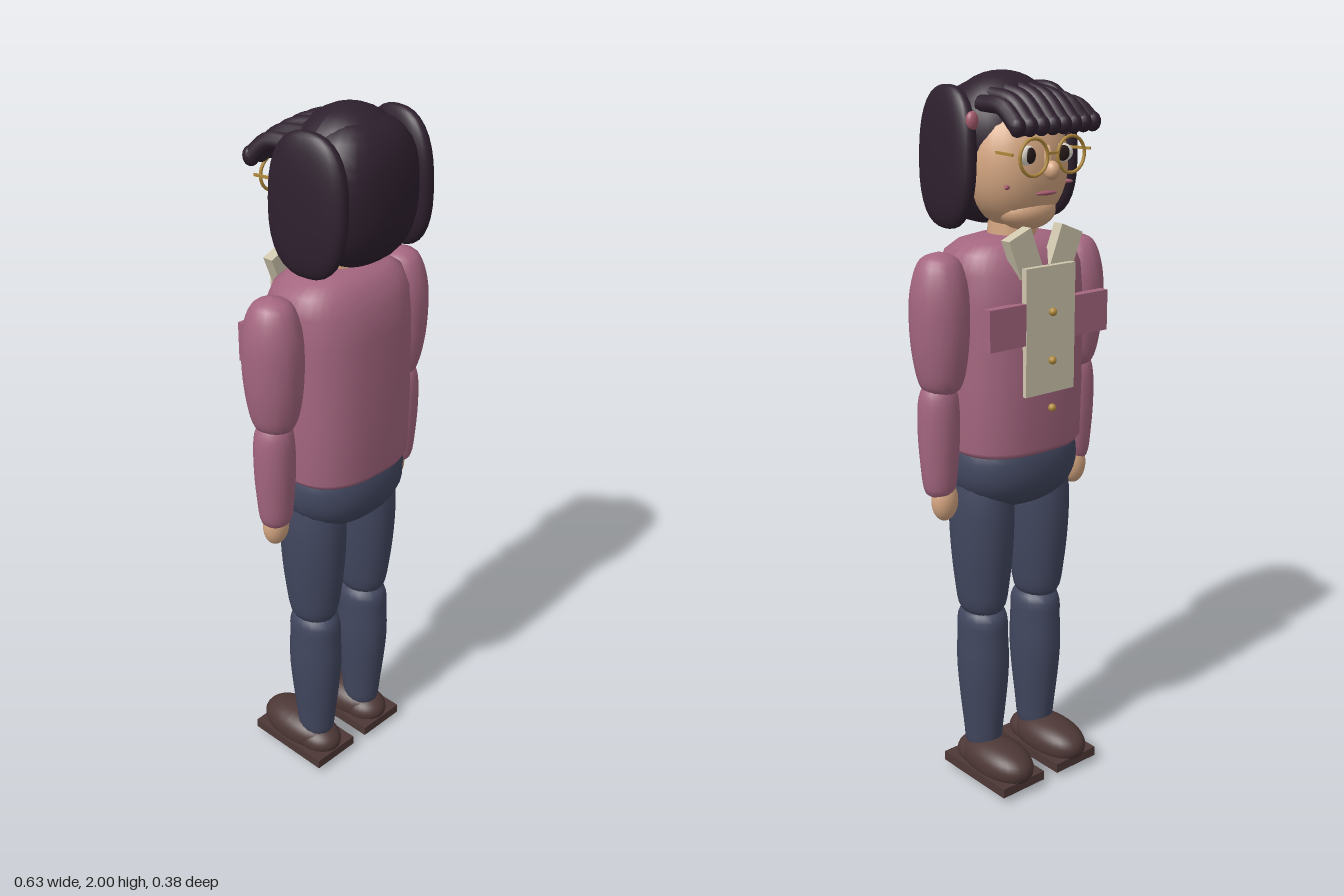
import * as THREE from 'three';

const mat = (name, color) => Object.assign(new THREE.MeshStandardMaterial({ color }), { name });

export function createModel() {
  const hair = mat('hair', 0x2e202e), pink = mat('pink wool', 0xa4667f), navy = mat('navy cloth', 0x42475f);
  const skin = mat('skin', 0xd6a782), brown = mat('brown leather', 0x4d3836), cream = mat('cream cloth', 0xcfc6ae);
  const gold = mat('gold', 0xb18a3c), white = mat('eye white', 0xe8e2d8), dark = mat('dark iris', 0x2a1c1c);
  const rose = mat('rose', 0xa35a6c);
  const model = new THREE.Group();
  model.name = 'standingFigure';

  const add = (name, geo, m, x = 0, y = 0, z = 0, rx = 0, ry = 0, rz = 0) => {
    const mesh = new THREE.Mesh(geo, m);
    mesh.name = name;
    mesh.position.set(x, y, z);
    mesh.rotation.set(rx, ry, rz);
    model.add(mesh);
    return mesh;
  };
  const box = (w, h, d) => new THREE.BoxGeometry(w, h, d);

  // Ellipsoid that gets boxier as n rises above 2
  const blob = (rx, ry, rz, n = 2, seg = 28) => {
    const g = new THREE.SphereGeometry(1, seg, Math.round(seg * 0.7));
    const p = g.attributes.position;
    for (let i = 0; i < p.count; i++) {
      const [x, y, z] = [p.getX(i), p.getY(i), p.getZ(i)];
      const s = (Math.abs(x) ** n + Math.abs(y) ** n + Math.abs(z) ** n) ** (-1 / n);
      p.setXYZ(i, x * s * rx, y * s * ry, z * s * rz);
    }
    g.computeVertexNormals();
    return g;
  };

  // Rounded limb from [radius, y] points, bottom to top
  const limb = (points, depth, sides = 18) => {
    const curve = new THREE.SplineCurve(points.map(([r, y]) => new THREE.Vector2(r, y)));
    const pts = curve.getPoints(24).map(v => new THREE.Vector2(Math.max(0, v.x), v.y));
    const g = new THREE.LatheGeometry(pts, sides);
    g.scale(1, 1, depth);
    return g;
  };

  // Stack of superellipse rings [y, halfWidth, halfDepth], bottom to top
  const loft = (rings, n, seg = 40) => {
    const pos = [], idx = [];
    rings.forEach(([y, w, d]) => {
      for (let i = 0; i <= seg; i++) {
        const a = (i / seg) * Math.PI * 2, c = Math.cos(a), s = Math.sin(a);
        pos.push(Math.sign(c) * Math.abs(c) ** (2 / n) * w, y, Math.sign(s) * Math.abs(s) ** (2 / n) * d);
      }
    });
    for (let r = 0; r < rings.length - 1; r++) {
      for (let i = 0; i < seg; i++) {
        const a = r * (seg + 1) + i, b = a + seg + 1;
        idx.push(a, b, a + 1, b, b + 1, a + 1);
      }
    }
    const g = new THREE.BufferGeometry();
    g.setAttribute('position', new THREE.Float32BufferAttribute(pos, 3));
    g.setIndex(idx);
    g.computeVertexNormals();
    return g;
  };

  // Sweater and hips; the figure looks towards -z
  add('sweater', loft([[1.01, 0, 0], [1.01, 0.185, 0.15], [1.025, 0.196, 0.158], [1.2, 0.2, 0.16], [1.42, 0.2, 0.156],
    [1.5, 0.198, 0.145], [1.55, 0.185, 0.122], [1.575, 0.15, 0.095], [1.588, 0.09, 0.06], [1.59, 0, 0]], 2.6), pink, 0, 0, 0.003);
  add('hips', blob(0.193, 0.135, 0.156, 2.3), navy, 0, 0.967, 0.003);

  // Shirt front, collar, pockets and buttons
  add('shirtFront', box(0.17, 0.34, 0.018), cream, 0, 1.35, -0.153);
  for (const y of [1.4, 1.27, 1.14]) add('button', new THREE.SphereGeometry(0.011, 12, 8), gold, 0, y, -0.17);

  for (const s of [-1, 1]) {
    add('collar', box(0.078, 0.11, 0.032), cream, s * 0.07, 1.555, -0.127, 0, 0, -s * 0.38);
    add('pocket', box(0.125, 0.11, 0.027), pink, s * 0.143, 1.375, -0.148);

    // Arms
    add('upperArm', limb([[0, 1.18], [0.05, 1.2], [0.072, 1.28], [0.08, 1.38], [0.075, 1.47], [0.05, 1.54], [0, 1.562]], 1.04),
      pink, s * 0.238, 0, 0.003);
    add('forearm', limb([[0, 0.905], [0.04, 0.912], [0.053, 1.0], [0.058, 1.1], [0.053, 1.18], [0.03, 1.22], [0, 1.23]], 0.95),
      pink, s * 0.245, 0, 0.006);
    add('hand', blob(0.039, 0.058, 0.032), skin, s * 0.237, 0.888, -0.004);

    // Legs and shoes
    add('thigh', limb([[0, 0.51], [0.056, 0.53], [0.074, 0.62], [0.085, 0.76], [0.083, 0.88], [0.06, 0.97], [0, 1.0]], 1.16),
      navy, s * 0.103, 0, 0.004);
    add('shin', limb([[0, 0.08], [0.043, 0.09], [0.055, 0.17], [0.069, 0.33], [0.068, 0.44], [0.06, 0.52], [0, 0.56]], 1.18),
      navy, s * 0.1, 0, 0.006);
    add('shoeUpper', blob(0.074, 0.058, 0.13, 2.2), brown, s * 0.102, 0.067, -0.062);
    add('shoeHeel', blob(0.062, 0.045, 0.075), brown, s * 0.102, 0.06, 0.018);
    add('shoeSole', box(0.152, 0.028, 0.272), brown, s * 0.102, 0.033, -0.043);
    add('shoeTread', blob(0.058, 0.016, 0.11), brown, s * 0.102, 0.016, -0.045);

    // Face, mirrored parts
    add('ear', blob(0.022, 0.028, 0.013), skin, s * 0.181, 1.765, 0.0);
    add('eyeWhite', blob(0.034, 0.025, 0.012), white, s * 0.056, 1.8, -0.132, 0, s * 0.3, 0);
    add('iris', blob(0.019, 0.02, 0.007), dark, s * 0.055, 1.8, -0.142, 0, s * 0.2, 0);
    add('eyebrow', blob(0.032, 0.007, 0.008), hair, s * 0.056, 1.855, -0.122, 0, s * 0.3, -s * 0.1);
    add('cheekMark', blob(0.022, 0.006, 0.007), rose, s * 0.098, 1.722, -0.102, 0, s * 0.7, 0);

    // Spectacles
    add('spectacleRim', new THREE.TorusGeometry(0.046, 0.0045, 8, 28), gold, s * 0.063, 1.798, -0.163);
    add('spectacleTemple', box(0.006, 0.007, 0.13), gold, s * 0.12, 1.808, -0.098, 0, -s * 0.18, 0);

    // Long side lock
    add('sideLock', blob(0.037, 0.181, 0.118, 2.5), hair, s * 0.163, 1.788, 0.058, 0, -s * 0.1, s * 0.03);
  }
  add('spectacleBridge', box(0.036, 0.007, 0.007), gold, 0, 1.805, -0.163);

  // Head
  add('neck', new THREE.CylinderGeometry(0.062, 0.068, 0.12, 20), skin, 0, 1.6, -0.005);
  add('head', blob(0.14, 0.165, 0.125, 2.15), skin, 0, 1.77, -0.02);
  add('chin', blob(0.085, 0.05, 0.062), skin, 0, 1.652, -0.065);
  add('nose', blob(0.02, 0.024, 0.022), skin, 0, 1.762, -0.16);
  add('noseBridge', blob(0.012, 0.034, 0.014), skin, 0, 1.79, -0.145);
  add('mouth', blob(0.034, 0.006, 0.009), rose, 0, 1.703, -0.14);

  // Hair: crown, full back and fringe swept to one side
  add('hairCrown', blob(0.155, 0.165, 0.143, 2.1), hair, 0, 1.835, 0.037);
  add('hairBack', blob(0.165, 0.187, 0.118, 2.5), hair, 0, 1.793, 0.072);
  for (let i = 0; i < 8; i++) {
    const t = i / 7, x0 = -0.128 + 0.24 * t, x1 = -0.168 + 0.265 * t;
    const arc = 1 - (x0 / 0.16) ** 2, tipZ = -0.13 - 0.014 * (1 - (x1 / 0.17) ** 2);
    const path = new THREE.CatmullRomCurve3([
      new THREE.Vector3(x0, 1.885 + 0.075 * arc, -0.015),
      new THREE.Vector3((x0 + x1) / 2, 1.9 + 0.035 * arc, -0.09),
      new THREE.Vector3(x1, 1.872, tipZ)]);
    add('fringeStrand', new THREE.TubeGeometry(path, 10, 0.022, 10), hair);
    add('fringeTip', blob(0.022, 0.026, 0.022, 2, 14), hair, x1, 1.872, tipZ);
  }
  add('hairPin', blob(0.018, 0.024, 0.014), rose, 0.166, 1.885, -0.047);

  return model;
}
